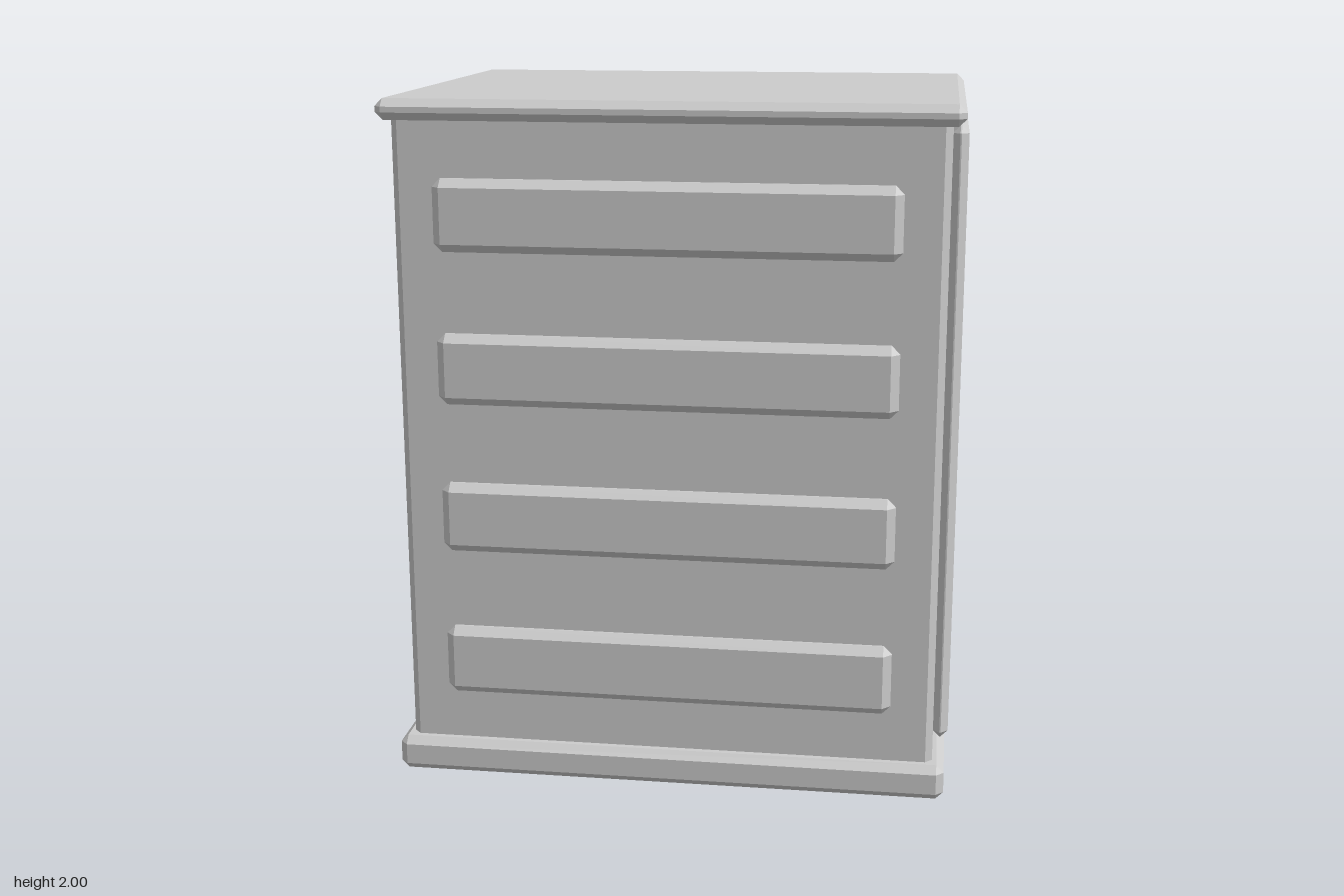
import * as THREE from 'three';
import { ConvexGeometry } from 'three/addons/geometries/ConvexGeometry.js';

const grey = new THREE.MeshStandardMaterial({ color: 0xcccccc });
grey.name = 'grey';

// Box with flat chamfers of width c on every edge, given its min and max corners
function chamferBox(name, min, max, c) {
  const lo = new THREE.Vector3(...min), hi = new THREE.Vector3(...max);
  const half = hi.clone().sub(lo).multiplyScalar(0.5);
  const points = [];
  for (const sx of [-1, 1]) for (const sy of [-1, 1]) for (const sz of [-1, 1]) {
    for (let axis = 0; axis < 3; axis++) {
      const p = half.clone().subScalar(c);
      p.setComponent(axis, half.getComponent(axis));
      points.push(p.multiply(new THREE.Vector3(sx, sy, sz)));
    }
  }
  const mesh = new THREE.Mesh(new ConvexGeometry(points), grey);
  mesh.position.copy(lo).add(hi).multiplyScalar(0.5);
  mesh.name = name;
  return mesh;
}

export function createModel() {
  const model = new THREE.Group();
  model.name = 'cabinet';

  // Main body between base and top slabs
  model.add(chamferBox('body', [-0.775, 0.05, -0.61], [0.775, 1.97, 0.61], 0.02));
  model.add(chamferBox('base', [-0.81, 0, -0.648], [0.81, 0.105, 0.648], 0.022));
  model.add(chamferBox('top', [-0.81, 1.94, -0.648], [0.81, 2, 0.648], 0.022));

  // Raised panels on both sides
  for (const [side, x] of [['left', 0.797], ['right', -0.797]]) {
    model.add(chamferBox(side + 'Panel', [x - 0.023, 0.098, -0.43], [x + 0.023, 1.925, 0.43], 0.021));
  }

  // Four raised bars on the front and back
  for (const [side, z] of [['front', 0.639], ['back', -0.639]]) {
    for (let i = 0; i < 4; i++) {
      const y = 0.367 + i * 0.438;
      model.add(chamferBox(side + 'Bar' + (i + 1), [-0.651, y - 0.103, z - 0.027], [0.651, y + 0.103, z + 0.027], 0.024));
    }
  }
  return model;
}
